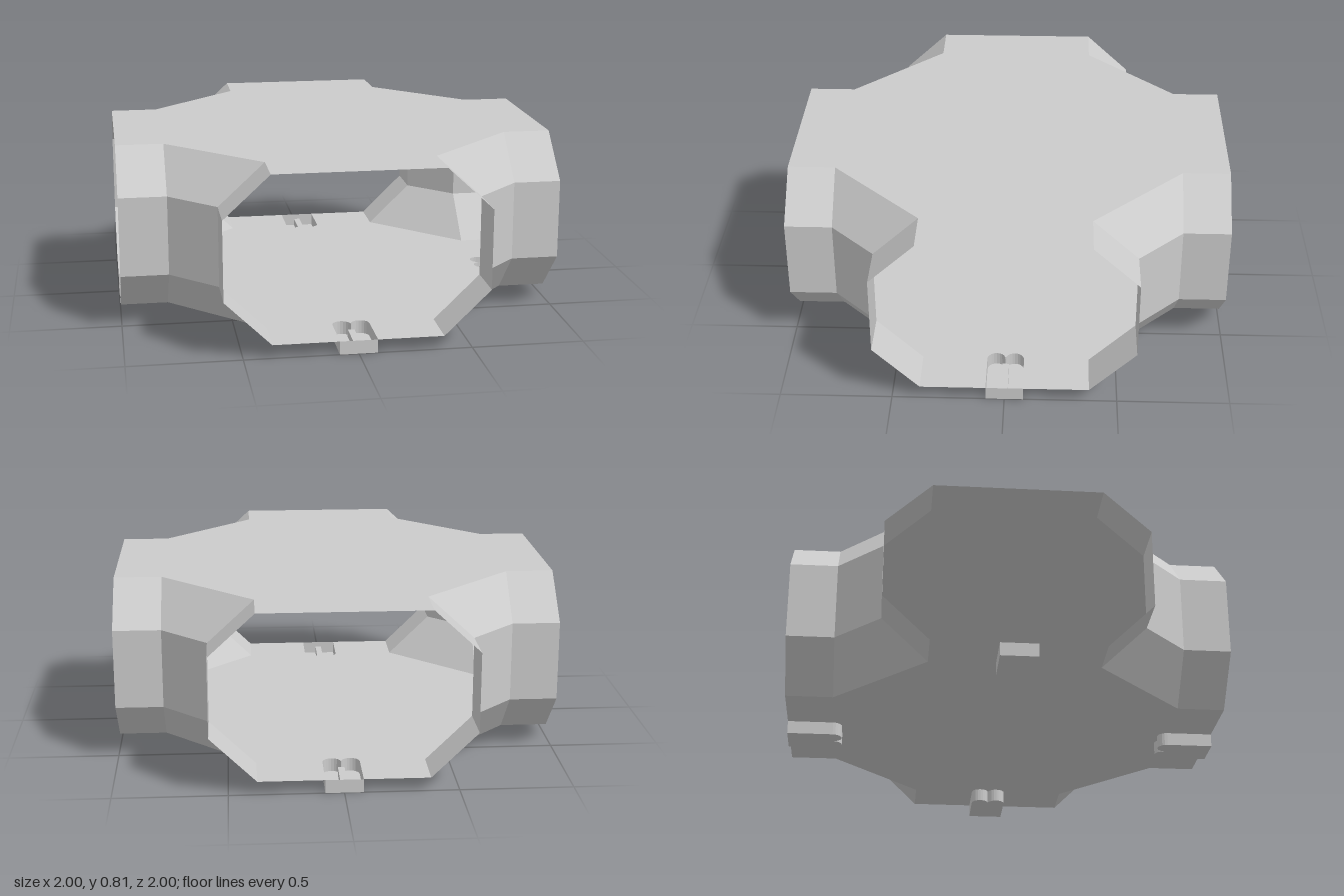
import * as THREE from 'three';

const FLOOR = 0.06, TOP = 0.81;
const mat = new THREE.MeshStandardMaterial({ color: 0xcccccc, side: THREE.DoubleSide, flatShading: true });

function part(name, geometry) {
  const mesh = new THREE.Mesh(geometry, mat);
  mesh.name = name;
  return mesh;
}

// Turns a plan point by k quarter turns
function turn([x, z], k) {
  for (let i = 0; i < k; i++) [x, z] = [-z, x];
  return [x, z];
}

// Horizontal sheet from plan points
function sheet(points, y) {
  const shape = new THREE.Shape(points.map(([x, z]) => new THREE.Vector2(x, -z)));
  return new THREE.ShapeGeometry(shape).rotateX(-Math.PI / 2).translate(0, y, 0);
}

// Surface of quads through rows of equally many points
function loft(rows) {
  const pos = [];
  for (let r = 0; r < rows.length - 1; r++) {
    for (let i = 0; i < rows[r].length - 1; i++) {
      const a = rows[r][i], b = rows[r][i + 1], c = rows[r + 1][i + 1], d = rows[r + 1][i];
      pos.push(...a, ...c, ...b, ...a, ...d, ...c);
    }
  }
  const g = new THREE.BufferGeometry();
  g.setAttribute('position', new THREE.Float32BufferAttribute(pos, 3));
  g.computeVertexNormals();
  return g;
}

// Plan of a connector slot: straight sides and two rounded lobes at the inner end
function slotPlan() {
  const w = 0.083, r = w / 2, pts = [[1, -w]];
  for (const c of [-r, r]) {
    for (let i = 0; i <= 10; i++) {
      const a = Math.PI * i / 10;
      pts.push([0.79 - r * Math.sin(a), c - r * Math.cos(a)]);
    }
  }
  pts.push([1, w]);
  return pts;
}

export function createModel() {
  const model = new THREE.Group();
  const slot = slotPlan();
  const inner = [[1, 0.375], [0.785, 0.375], [0.375, 0.785], [0.375, 1]];
  const outer = [[1, 0.58], [0.785, 0.58], [0.58, 0.785], [0.58, 1]];

  // Floor (notched for the slots) and ceiling
  const floorPlan = [], ceilingPlan = [];
  for (let k = 0; k < 4; k++) {
    floorPlan.push(...slot.map(p => turn(p, k)), ...inner.map(p => turn(p, k)));
    ceilingPlan.push(...inner.map(p => turn(p, k)));
  }
  model.add(part('floor', sheet(floorPlan, FLOOR)));
  model.add(part('ceiling', sheet(ceilingPlan, TOP)));

  // Corner walls: lower slope, upright wall, upper slope
  const profile = [[inner, FLOOR], [outer, 0.26], [outer, 0.62], [inner, TOP]];
  for (let k = 0; k < 4; k++) {
    const corner = part('cornerWall', loft(profile.map(([plan, y]) => plan.map(([x, z]) => [x, y, z]))));
    corner.rotation.y = k * Math.PI / 2;
    model.add(corner);
  }

  // Connector sockets below the floor at the four openings
  for (let k = 0; k < 4; k++) {
    const socket = new THREE.Group();
    socket.name = 'connectorSocket';
    const rim = [...slot, slot[0]];
    socket.add(part('socketWall', loft([0, FLOOR].map(y => rim.map(([x, z]) => [x, y, z])))));
    socket.add(part('socketBase', sheet(slot, 0)));
    // Ridge between the two lobes
    socket.add(part('socketRidge', new THREE.BoxGeometry(0.2, 0.035, 0.03).translate(0.895, 0.0185, 0)));
    socket.rotation.y = k * Math.PI / 2;
    model.add(socket);
  }
  return model;
}
